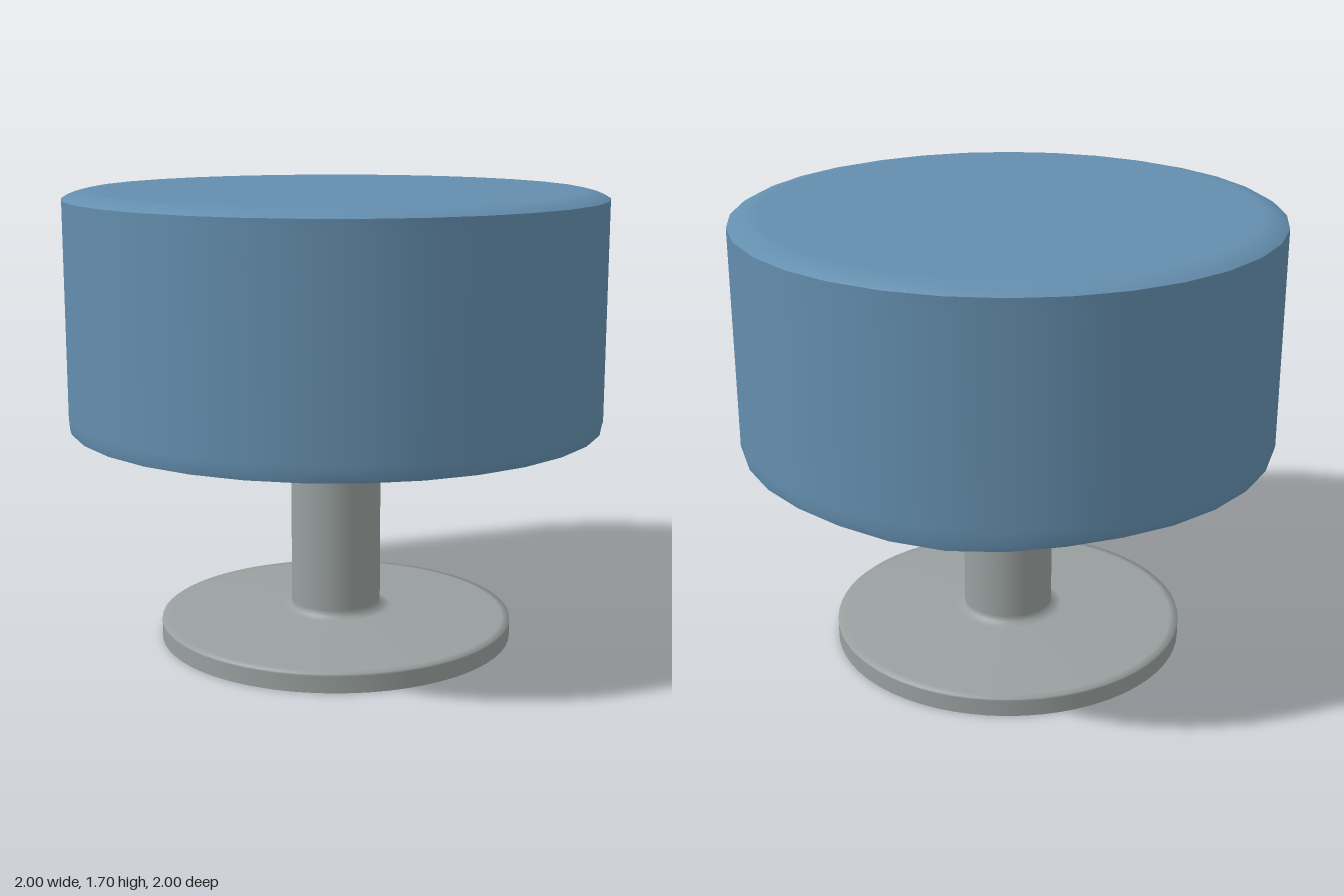
import * as THREE from 'three';
import { toCreasedNormals } from 'three/addons/utils/BufferGeometryUtils.js';

// Turn a profile of [radius, height] pairs into a creased round mesh
function turned(name, profile, sides, color, crease, reshape) {
  const points = profile.map(([r, y]) => new THREE.Vector2(r, y));
  const geometry = new THREE.LatheGeometry(points, sides);
  if (reshape) {
    const p = geometry.attributes.position;
    for (let i = 0; i < p.count; i++) p.setY(i, reshape(p.getX(i), p.getY(i), p.getZ(i)));
  }
  const mesh = new THREE.Mesh(
    toCreasedNormals(geometry, crease),
    new THREE.MeshStandardMaterial({ color })
  );
  mesh.name = name;
  return mesh;
}

// Uneven hem: soft ripples on the outer edge and one sagging stretch at the back
function hem(x, y, z) {
  if (y > 0.88) return y;
  const angle = Math.atan2(x, z);
  const sag = Math.max(0, 1 - Math.abs(angle - 2.75) / 0.42);
  const ripple = y > 0.85 && Math.hypot(x, z) > 0.99
    ? 0.01 * Math.sin(angle * 14 + 0.6) * (0.6 + 0.4 * Math.cos(angle - 0.8))
    : 0;
  return y + ripple - 0.022 * Math.sqrt(sag);
}

export function createModel() {
  const group = new THREE.Group();
  group.name = 'pedestalTable';

  // Round foot plate and column, turned as one piece with a softly shaded joint
  group.add(turned('pedestal', [
    [0, 0], [0.67, 0], [0.67, 0.062], [0.67, 0.07], [0.64, 0.0721],
    [0.21, 0.1022], [0.17, 0.105], [0.17, 0.13], [0.17, 1.25]
  ], 64, 0x99a09f, 1.53));

  // Draped cloth over the table top, hollow underneath
  group.add(turned('tablecloth', [
    [0, 1.25], [0.965, 1.25], [0.965, 0.9], [0.965, 0.848], [0.975, 0.838], [0.995, 0.836],
    [1, 0.857], [1, 0.89], [1, 1.63], [1, 1.672], [0.975, 1.687], [0.925, 1.7], [0.89, 1.7], [0, 1.7]
  ], 32, 0x648eae, 0.95, hem));

  return group;
}
